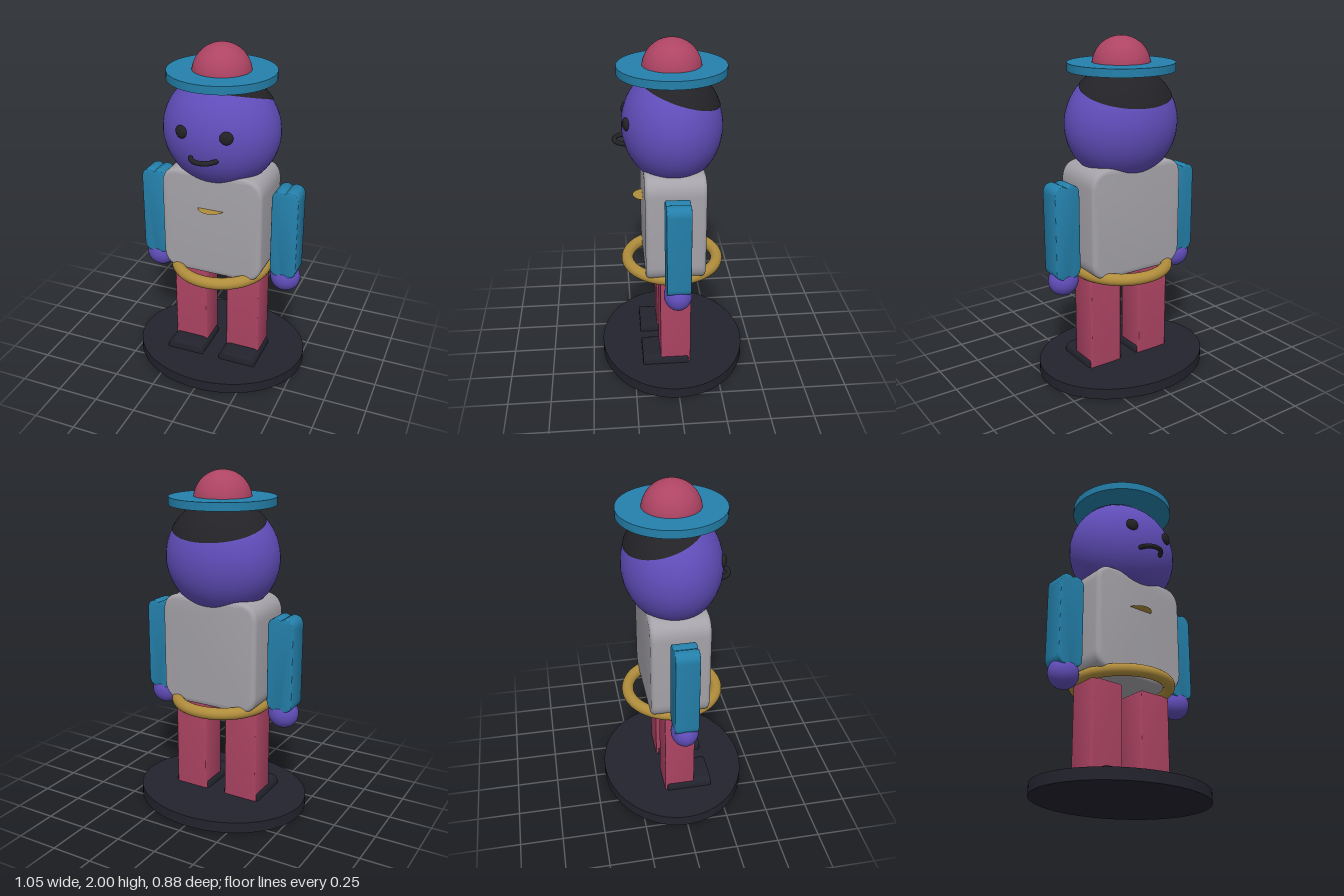
import * as THREE from 'three';
import { toCreasedNormals } from 'three/addons/utils/BufferGeometryUtils.js';

const paint = (name, hex, side = THREE.FrontSide) => {
  const m = new THREE.MeshStandardMaterial({ color: hex, side });
  m.name = name;
  return m;
};

// Rounded slab: outline in x/y, extruded along z, with a bevel inside the given size.
// A notch lowers the middle of the top and bottom edges.
function slab(w, h, d, r, bevel, notch = 0) {
  const x = w / 2 - bevel, y = h / 2 - bevel;
  const s = new THREE.Shape();
  s.moveTo(-x, -y + r);
  s.quadraticCurveTo(-x, -y, -x + r, -y);
  if (notch) s.lineTo(0, -y + notch);
  s.lineTo(x - r, -y);
  s.quadraticCurveTo(x, -y, x, -y + r);
  s.lineTo(x, y - r);
  s.quadraticCurveTo(x, y, x - r, y);
  if (notch) s.lineTo(0, y - notch);
  s.lineTo(-x + r, y);
  s.quadraticCurveTo(-x, y, -x, y - r);
  const depth = d - 2 * bevel;
  const g = new THREE.ExtrudeGeometry(s, {
    depth, bevelEnabled: true, bevelSize: bevel, bevelThickness: bevel,
    bevelSegments: 4, curveSegments: 10,
  });
  g.translate(0, 0, -depth / 2);
  return toCreasedNormals(g, 0.6);
}

export function createModel() {
  const skin = paint('violet skin', 0x604db9);
  const blue = paint('blue', 0x2480ab);
  const grey = paint('grey shirt', 0xa5a3a9);
  const red = paint('crimson', 0xae4464);
  const dark = paint('dark navy', 0x23232e);
  const black = paint('black', 0x232327);
  const gold = paint('gold', 0xb08d3c, THREE.DoubleSide);

  const model = new THREE.Group();
  const add = (name, geo, mat, x, y, z, parent = model) => {
    const m = new THREE.Mesh(geo, mat);
    m.name = name;
    m.position.set(x, y, z);
    parent.add(m);
    return m;
  };
  const ball = new THREE.SphereGeometry(1, 48, 32);

  // Oval stand
  add('base', new THREE.CylinderGeometry(1, 1, 0.065, 96), dark, 0, 0.0325, 0).scale.set(0.527, 1, 0.438);

  // Torso, belt and the flat badge shelf on the chest
  add('torso', slab(0.61, 0.65, 0.345, 0.085, 0.025), grey, 0, 0.975, 0);
  add('belt', new THREE.TorusGeometry(0.27, 0.035, 20, 80).rotateX(Math.PI / 2), gold, 0, 0.655, 0);
  add('chestBadge', new THREE.CircleGeometry(0.08, 32).rotateX(-Math.PI / 2), gold, 0, 1.08, 0.15);

  // Limbs, mirrored
  const leg = slab(0.21, 0.59, 0.18, 0.012, 0.008);
  const shoe = slab(0.235, 0.1, 0.275, 0.04, 0.008);
  const arm = slab(0.157, 0.55, 0.137, 0.05, 0.006, 0.012);
  for (const [side, s] of [['left', 1], ['right', -1]]) {
    add(side + 'Leg', leg, red, s * 0.17, 0.335, 0);
    add(side + 'Shoe', shoe, dark, s * 0.17, 0.068, 0.06);
    add(side + 'Arm', arm, blue, s * 0.406, 0.94, 0);
    add(side + 'Hand', ball, skin, s * 0.405, 0.637, 0).scale.set(0.09, 0.088, 0.08);
    const eye = add(side + 'Eye', ball, black, s * 0.13, 1.567, 0.261);
    eye.scale.set(0.037, 0.037, 0.018);
    eye.rotation.y = s * 0.3;
  }

  // Head with a hair cap tipped towards the back
  const head = new THREE.Group();
  head.name = 'head';
  head.position.set(0, 1.513, 0);
  head.scale.set(0.34, 0.326, 0.285);
  model.add(head);
  add('face', ball, skin, 0, 0, 0, head);
  const hair = new THREE.SphereGeometry(1.012, 64, 20, 0, Math.PI * 2, 0, 0.93).rotateX(-0.268);
  add('hair', hair, black, 0, 0, 0, head);

  // Mouth: half ring lying flat and bulging forwards
  const mouth = new THREE.TorusGeometry(0.075, 0.014, 12, 32, Math.PI).rotateX(Math.PI / 2);
  add('mouth', mouth, black, 0, 1.43, 0.25);

  // Hat
  add('hatBrim', new THREE.CylinderGeometry(0.305, 0.305, 0.046, 72), blue, 0, 1.832, 0);
  add('hatDome', new THREE.SphereGeometry(0.166, 48, 20, 0, Math.PI * 2, 0, Math.PI / 2), red, 0, 1.834, 0);

  return model;
}
